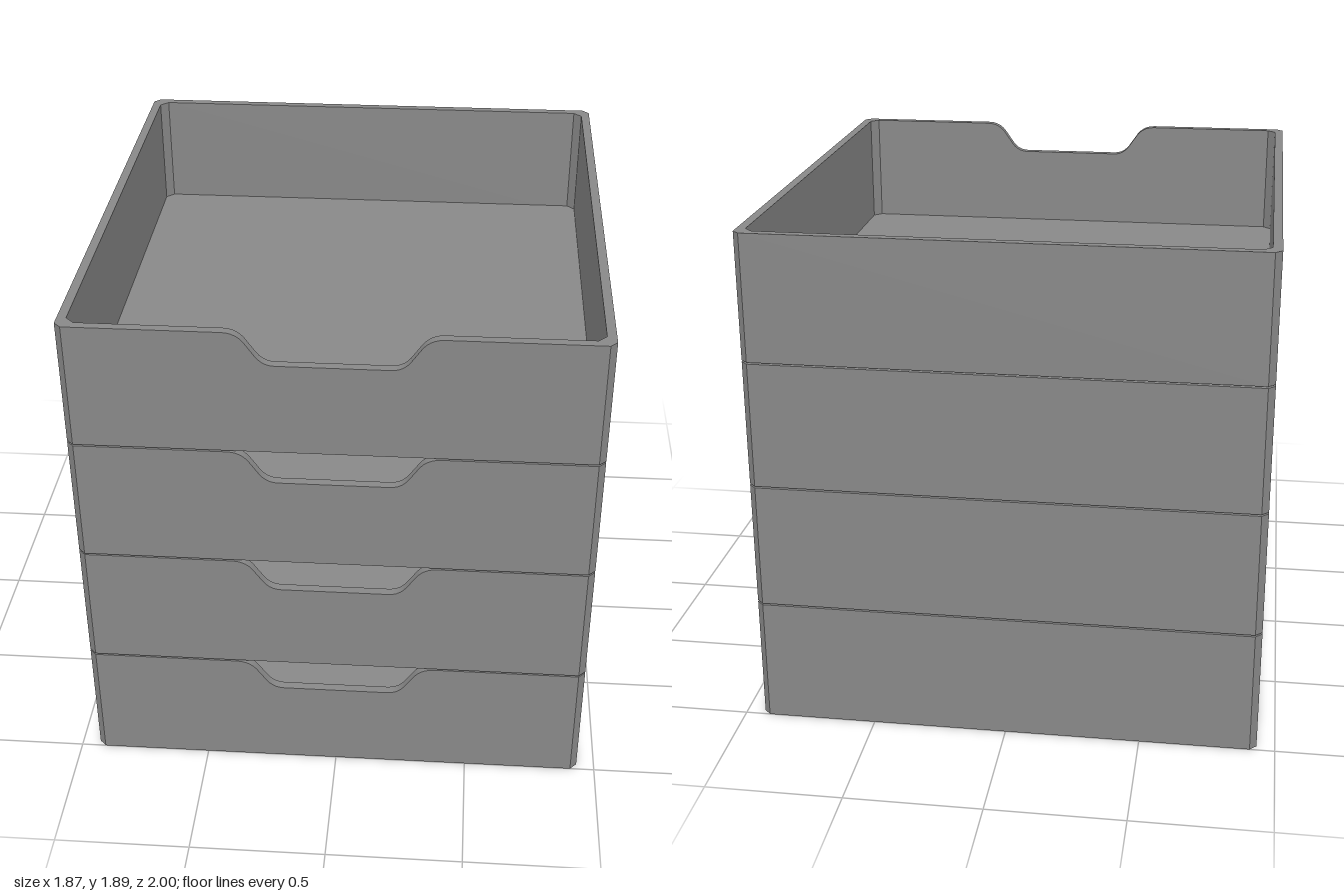
import * as THREE from 'three';
import { toCreasedNormals } from 'three/addons/utils/BufferGeometryUtils.js';

const W = 0.933, D = 1, C = 0.025;          // outer half width, half depth, corner chamfer
const T = 0.033;                            // wall thickness
const WI = W - T, DI = D - T, CI = 0.03;    // inside of the walls
const H = 0.468, GAP = 0.006;               // tray height, gap between trays
const FLOOR = 0.036, NOTCH = 0.1225;        // floor thickness, grip depth
const SEAM = WI - CI;                       // where the front panel meets the shell

const material = new THREE.MeshStandardMaterial({ color: 0x888888 });

function extrude(shape, depth) {
  const g = new THREE.ExtrudeGeometry(shape, { depth, bevelEnabled: false, curveSegments: 5 });
  return toCreasedNormals(g, 0.6);
}

// Chamfered rectangle, from front left round the back to front right
function outline(w, d, c) {
  const half = [[c - w, -d], [-w, c - d], [-w, d - c], [c - w, d]];
  const mirrored = half.map(([x, y]) => [-x, y]).reverse();
  return [...half, ...mirrored].map(([x, y]) => new THREE.Vector2(x, y));
}

// Back and side walls with all four corners, open at the front
function shellGeometry() {
  const s = new THREE.Shape([
    new THREE.Vector2(-SEAM, -D),
    ...outline(W, D, C),
    new THREE.Vector2(SEAM, -D),
    ...outline(WI, DI, CI).reverse(),
  ]);
  return extrude(s, H).rotateX(-Math.PI / 2);
}

function floorGeometry() {
  return extrude(new THREE.Shape(outline(WI, DI, CI)), FLOOR).rotateX(-Math.PI / 2);
}

// Front wall with a softly sloped grip cut into its top edge
function frontGeometry() {
  const s = new THREE.Shape(), low = H - NOTCH;
  s.moveTo(-SEAM, 0);
  s.lineTo(SEAM, 0);
  s.lineTo(SEAM, H);
  s.lineTo(0.37, H);
  s.quadraticCurveTo(0.325, H, 0.298, H - 0.034);
  s.lineTo(0.26, low + 0.034);
  s.quadraticCurveTo(0.235, low, 0.195, low);
  s.lineTo(-0.195, low);
  s.quadraticCurveTo(-0.235, low, -0.26, low + 0.034);
  s.lineTo(-0.298, H - 0.034);
  s.quadraticCurveTo(-0.325, H, -0.37, H);
  s.lineTo(-SEAM, H);
  s.closePath();
  return extrude(s, T).translate(0, 0, DI);
}

export function createModel() {
  const model = new THREE.Group();
  model.name = 'stackedTrays';
  const parts = { sideAndBackWalls: shellGeometry(), frontWall: frontGeometry(), trayFloor: floorGeometry() };

  for (let i = 0; i < 4; i++) {
    const tray = new THREE.Group();
    tray.name = `tray${i + 1}`;
    tray.position.y = i * (H + GAP);
    for (const [name, geometry] of Object.entries(parts)) {
      const mesh = new THREE.Mesh(geometry, material);
      mesh.name = name;
      tray.add(mesh);
    }
    model.add(tray);
  }
  return model;
}
